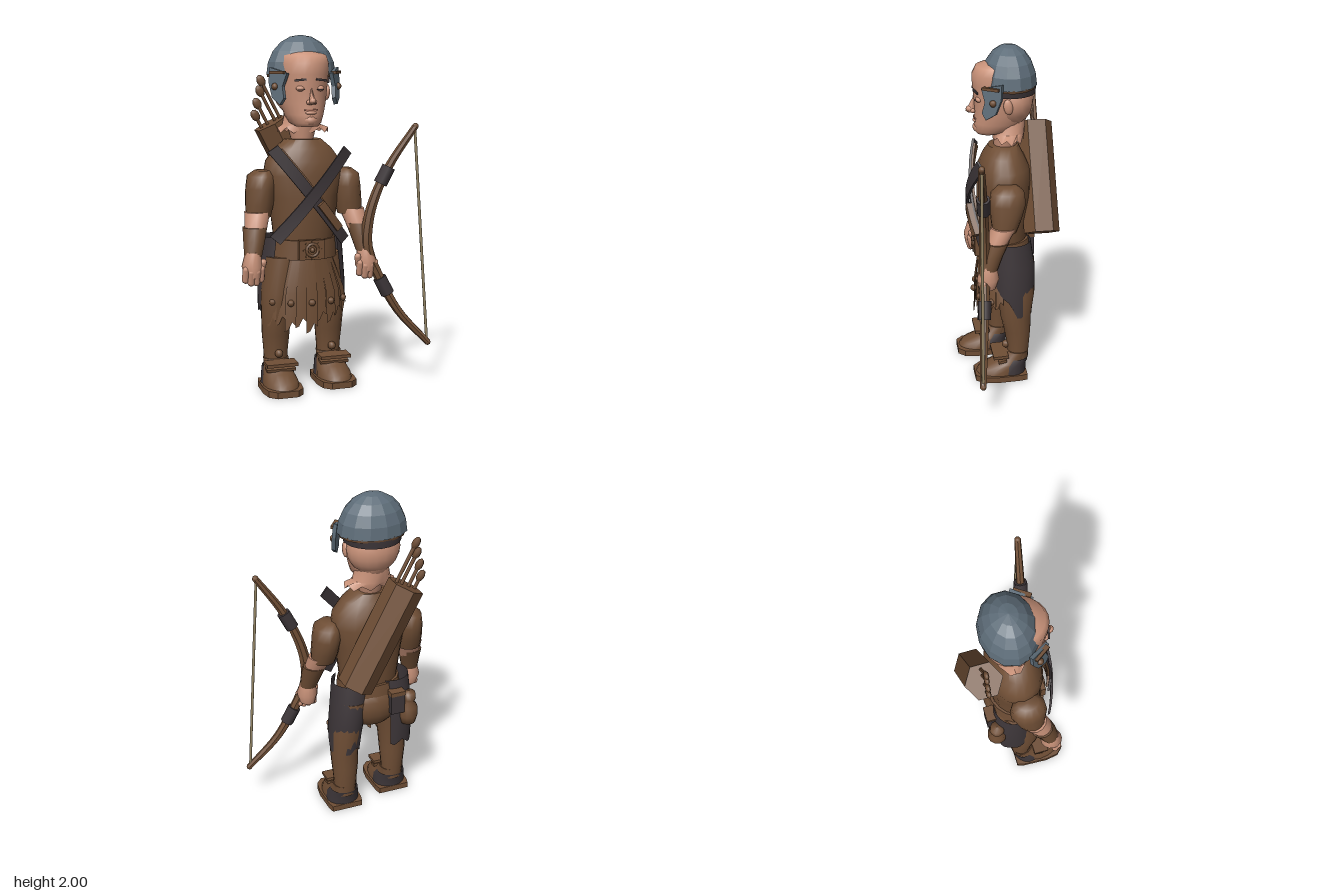
import * as THREE from 'three';
import { toCreasedNormals } from 'three/addons/utils/BufferGeometryUtils.js';

const mat = (name, color) => new THREE.MeshStandardMaterial({ name, color, side: THREE.DoubleSide });
const PI = Math.PI;
const CX = -0.155; // body axis

export function createModel() {
  const leather = mat('brown leather', 0x6f4e35);
  const skin = mat('skin', 0xca937a);
  const steel = mat('blue steel', 0x5e6d79);
  const dark = mat('dark cloth', 0x3d3639);
  const cord = mat('bowstring', 0x948565);
  const lip = mat('lips', 0xa86f5c);

  const root = new THREE.Group();
  root.name = 'archer';
  const body = new THREE.Group();
  body.name = 'body';
  body.position.x = CX;
  root.add(body);

  const add = (parent, name, geo, m, p = [0, 0, 0], r = [0, 0, 0], s = [1, 1, 1]) => {
    const mesh = new THREE.Mesh(geo, m);
    mesh.name = name;
    mesh.position.set(...p);
    mesh.rotation.set(...r);
    mesh.scale.set(...s);
    parent.add(mesh);
    return mesh;
  };
  const box = (x, y, z) => new THREE.BoxGeometry(x, y, z);
  const ball = (r, w = 10, h = 7) => new THREE.SphereGeometry(r, w, h);

  // Skin of elliptical rings [y, cx, cz, rx, rz], lowest first; a0..a1 makes an open panel.
  // ragged shifts the lowest ring's points up and down.
  function loft(rings, { n = 16, a0 = 0, a1 = 2 * PI, crease = 0.9, ragged = null } = {}) {
    const full = a1 - a0 > 6.28;
    const list = full && !ragged
      ? [[...rings[0].slice(0, 3), 0, 0], ...rings, [...rings.at(-1).slice(0, 3), 0, 0]] : rings;
    const row = full ? n : n + 1, pos = [], idx = [];
    list.forEach(([y, cx, cz, rx, rz], i) => {
      for (let j = 0; j < row; j++) {
        const a = a0 + (a1 - a0) * j / n;
        pos.push(cx + rx * Math.cos(a), y + (ragged && i === 0 ? ragged(j) : 0), cz + rz * Math.sin(a));
      }
    });
    for (let i = 0; i < list.length - 1; i++) for (let j = 0; j < n; j++) {
      const k = (j + 1) % row, a = i * row + j, b = i * row + k, c = a + row, d = b + row;
      idx.push(a, c, b, b, c, d);
    }
    const g = new THREE.BufferGeometry();
    g.setAttribute('position', new THREE.Float32BufferAttribute(pos, 3));
    g.setIndex(idx);
    return toCreasedNormals(g, crease);
  }
  // Centred rings given as [y, half width, back z, front z]
  const trunk = (rows, o) => loft(rows.map(([y, w, b, f]) => [y, 0, (b + f) / 2, w, (f - b) / 2]), o);

  // Torso, pelvis and belt
  add(body, 'tunic', trunk([[0.82, 0.17, -0.12, 0.15], [0.95, 0.185, -0.13, 0.165], [1.1, 0.203, -0.145, 0.17],
    [1.22, 0.232, -0.148, 0.17], [1.3, 0.218, -0.135, 0.16], [1.37, 0.165, -0.1, 0.13], [1.42, 0.105, -0.075, 0.1]], { n: 20 }), leather);
  add(body, 'belt', trunk([[0.75, 0.195, -0.15, 0.175], [0.86, 0.185, -0.14, 0.17]], { n: 20 }), leather);
  add(body, 'seat', ball(1, 16, 10), leather, [0, 0.71, -0.05], [0, 0, 0], [0.17, 0.15, 0.115]);
  add(body, 'buckle', box(0.15, 0.11, 0.03), leather, [0, 0.81, 0.178]);
  add(body, 'buckleRing', new THREE.TorusGeometry(0.034, 0.009, 6, 12), leather, [0, 0.81, 0.196]);
  add(body, 'buckleStud', ball(0.014), leather, [0, 0.81, 0.195]);
  for (let i = 0; i < 8; i++) {
    const a = i * PI / 4;
    add(body, 'buckleRay', box(0.03, 0.009, 0.012), leather, [0.04 * Math.cos(a), 0.81 + 0.04 * Math.sin(a), 0.193], [0, 0, a]);
  }

  // Skirt of overlapping leather strips with ragged ends
  const drop = [0.5, 0.47, 0.45, 0.42, 0.43, 0.37, 0.4, 0.38, 0.41, 0.4, 0.46];
  drop.forEach((y, i) => {
    const a0 = PI * (0.07 + 0.86 * i / drop.length), a1 = a0 + PI * 0.084, out = 0.01 * (i % 2);
    add(body, 'skirtStrip', loft([[y, 0, 0.01, 0.25 + out, 0.175 + out], [0.57, 0, 0.01, 0.235 + out, 0.17 + out],
      [0.76, 0, 0.01, 0.165, 0.155]], { n: 3, a0, a1, ragged: j => (j === 1 ? 0.02 : -0.012 * j) }), leather);
    const a = (a0 + a1) / 2;
    if (i % 2) add(body, 'skirtStud', ball(0.02, 8, 6), leather, [0.25 * Math.cos(a), 0.51, 0.01 + 0.185 * Math.sin(a)]);
  });

  // Crossed chest straps, bowed out over the chest
  function strap(name, len, wide, m, x, y, ang, z, thick = 0.014) {
    const g = new THREE.BoxGeometry(wide, len, thick, 1, 10, 1).rotateZ(ang).translate(x, y, 0);
    const p = g.attributes.position;
    for (let i = 0; i < p.count; i++) p.setZ(i, p.getZ(i) + z - 1.2 * p.getX(i) ** 2);
    g.computeVertexNormals();
    add(body, name, g, m);
  }
  strap('chestStrap', 0.67, 0.064, dark, -0.005, 1.115, 0.67, 0.205);
  strap('chestStrap', 0.65, 0.066, dark, 0.002, 1.118, -0.71, 0.226);
  strap('innerBand', 0.5, 0.06, leather, -0.03, 1.165, 0.67, 0.191);
  strap('daggerGrip', 0.19, 0.044, leather, 0.1, 1.0, 0.67, 0.225, 0.03);

  // Head and neck
  add(body, 'head', trunk([[1.495, 0.062, 0.03, 0.165], [1.515, 0.088, -0.07, 0.183], [1.56, 0.108, -0.115, 0.18],
    [1.62, 0.125, -0.135, 0.176], [1.7, 0.136, -0.153, 0.18], [1.78, 0.143, -0.163, 0.188], [1.84, 0.145, -0.155, 0.19],
    [1.885, 0.133, -0.13, 0.168], [1.92, 0.06, -0.06, 0.07]], { n: 24, crease: 1.2 }), skin);
  add(body, 'skullBack', ball(1, 18, 12), skin, [0, 1.69, -0.035], [0, 0, 0], [0.155, 0.15, 0.125]);
  add(body, 'neck', trunk([[1.41, 0.062, -0.06, 0.065], [1.54, 0.095, -0.11, 0.085]]), skin);
  add(body, 'neckSkin', loft([[1.468, 0.01, -0.015, 0.15, 0.085], [1.5, 0, -0.02, 0.11, 0.09], [1.57, 0, -0.02, 0.095, 0.095]],
    { n: 18, ragged: j => (j % 2 ? 0.015 : -0.015) }), skin);
  add(body, 'nose', new THREE.ConeGeometry(0.026, 0.1, 8), skin, [0, 1.67, 0.188], [-0.22, 0, 0], [0.8, 1, 1.1]);
  add(body, 'noseTip', ball(0.02), skin, [0, 1.637, 0.206]);
  add(body, 'chin', ball(0.04), skin, [0, 1.53, 0.15], [0, 0, 0], [1.1, 0.8, 1]);
  add(body, 'upperLip', box(0.075, 0.008, 0.008), lip, [0, 1.588, 0.177]);
  add(body, 'lowerLip', ball(0.02), skin, [0, 1.572, 0.17], [0, 0, 0], [1.7, 0.6, 0.9]);

  // Helmet: faceted bowl, rim and lining band
  const bowl = new THREE.SphereGeometry(1, 13, 5, 0, 2 * PI, 0, PI / 2).toNonIndexed();
  bowl.computeVertexNormals();
  add(body, 'helmetBowl', bowl, steel, [0, 1.78, -0.02], [0, 0, 0], [0.2, 0.22, 0.16]);
  add(body, 'helmetRim', trunk([[1.765, 0.19, -0.172, 0.13], [1.785, 0.196, -0.176, 0.136]], { n: 13 }), leather);
  add(body, 'helmetLining', loft([[1.73, 0, -0.02, 0.162, 0.152], [1.77, 0, -0.02, 0.168, 0.154]],
    { n: 14, a0: PI * 0.88, a1: PI * 2.12 }), dark);
  // Cheek guard outline as [forward, up] from its centre
  const cheek = new THREE.Shape([[0.06, 0.07], [-0.06, 0.1], [-0.06, 0.02], [-0.03, -0.06], [0.025, -0.095], [0.05, -0.06], [0.035, 0]]
    .map(([z, y]) => new THREE.Vector2(-z, y)));
  const cheekGeo = new THREE.ExtrudeGeometry(cheek, { depth: 0.022, bevelEnabled: false }).translate(0, 0, -0.011).rotateY(PI / 2);

  for (const s of [1, -1]) {
    const side = s > 0 ? 'left' : 'right';
    const arm = (name, rings, m) => add(body, side + name, loft(rings.map(([y, x, ...r]) => [y, s * x, ...r]), { n: 14 }), m);

    // Face and helmet sides
    add(body, side + 'Brow', box(0.066, 0.012, 0.009), dark, [s * 0.06, 1.752, 0.176], [0, s * 0.22, -s * 0.1]);
    add(body, side + 'Eyelid', ball(0.024), skin, [s * 0.054, 1.705, 0.158], [0, 0, 0], [1.15, 0.7, 0.8]);
    add(body, side + 'Eye', box(0.04, 0.005, 0.008), dark, [s * 0.054, 1.699, 0.173], [0, s * 0.2, 0]);
    add(body, side + 'Nostril', ball(0.013), skin, [s * 0.018, 1.63, 0.187]);
    add(body, side + 'Ear', ball(0.045), skin, [s * 0.148, 1.68, 0.005], [0.15, 0, 0], [0.35, 1, 0.6]);
    const guard = new THREE.Group();
    guard.name = side + 'CheekGuard';
    guard.position.set(s * 0.165, 1.715, 0.1);
    guard.rotation.y = -s * 0.6;
    body.add(guard);
    add(guard, 'cheekPlate', cheekGeo, steel, [0, 0, 0], [0, 0, s * 0.1], [1, 1.05, 1.05]);
    add(guard, 'cheekStud', ball(0.02), leather, [s * 0.012, 0, -0.015]);
    add(guard, 'cheekHinge', box(0.026, 0.016, 0.1), leather, [s * 0.006, 0.077, 0]);

    // Arm
    arm('Sleeve', [[0.99, 0.27, 0.045, 0.07, 0.07], [1.06, 0.262, 0.035, 0.08, 0.088], [1.15, 0.254, 0.025, 0.082, 0.105],
      [1.22, 0.25, 0.025, 0.077, 0.095], [1.25, 0.24, 0.025, 0.045, 0.06]], leather);
    arm('Elbow', [[0.86, 0.312, 0.12, 0.055, 0.052], [0.95, 0.295, 0.085, 0.066, 0.066], [1.02, 0.279, 0.05, 0.073, 0.074]], skin);
    arm('Bracer', [[0.785, 0.328, 0.142, 0.05, 0.05], [0.87, 0.315, 0.118, 0.062, 0.06], [0.94, 0.303, 0.09, 0.07, 0.068]], leather);
    arm('Palm', [[0.67, 0.332, 0.155, 0.045, 0.05], [0.73, 0.335, 0.15, 0.06, 0.064], [0.81, 0.33, 0.145, 0.042, 0.045]], skin);
    for (let f = 0; f < 4; f++) {
      add(body, side + 'Finger', new THREE.CapsuleGeometry(0.021, 0.06, 3, 8), skin,
        [s * (0.29 + f * 0.029), 0.688 - (f % 3 ? 0.015 : 0), 0.187 - Math.abs(f - 1.5) * 0.01], [0.25, 0, 0]);
    }
    add(body, side + 'Thumb', new THREE.CapsuleGeometry(0.02, 0.05, 3, 8), skin, [s * 0.282, 0.73, 0.165], [0.3, 0, s * 0.2]);

    // Leg with dark breeches at the back and side
    const leg = new THREE.Group();
    leg.name = side + 'Leg';
    leg.position.set(s * 0.17, 0, s > 0 ? -0.035 : 0.035);
    body.add(leg);
    add(leg, 'leg', loft([[0.1, 0, -0.01, 0.066, 0.062], [0.2, 0, -0.015, 0.07, 0.066], [0.31, 0, -0.01, 0.08, 0.08],
      [0.4, 0, 0, 0.084, 0.092], [0.55, -s * 0.01, -0.005, 0.095, 0.11], [0.76, -s * 0.04, -0.01, 0.1, 0.105]]), leather);
    // the hem rises toward the front edge
    const hem = j => 0.17 * Math.max(0, (s > 0 ? j : 14 - j) - 9) / 5 + 0.02 * Math.sin(j * 1.3);
    add(body, side + 'Breeches', loft([[0.43, s * 0.16, -0.02, 0.098, 0.112], [0.6, s * 0.152, -0.025, 0.105, 0.126],
      [0.72, s * 0.138, -0.025, 0.11, 0.127], [0.87, s * 0.115, -0.015, 0.12, 0.115]],
    { n: 14, a0: s > 0 ? PI * 1.3 : PI * 0.67, a1: s > 0 ? PI * 2.33 : PI * 1.7, ragged: hem }), dark);

    // Shoe
    const outline = new THREE.Shape();
    outline.moveTo(-0.095, 0.06);
    [[0.095, 0.06], [0.105, 0.02], [0.112, -0.13], [0.1, -0.21], [0.06, -0.25], [-0.06, -0.25], [-0.1, -0.21], [-0.112, -0.13], [-0.105, 0.02]]
      .forEach(([x, y]) => outline.lineTo(x, y));
    add(leg, 'sole', new THREE.ExtrudeGeometry(outline, { depth: 0.036, bevelEnabled: false }).rotateX(-PI / 2), leather);
    add(leg, 'shoe', loft([[0.03, 0, 0.095, 0.1, 0.15], [0.065, 0, 0.085, 0.097, 0.137], [0.1, 0, 0.04, 0.085, 0.098],
      [0.14, 0, 0.01, 0.076, 0.076], [0.17, 0, -0.01, 0.074, 0.068]]), leather);
    add(leg, 'heelPatch', loft([[0.036, 0, 0.03, 0.1, 0.09], [0.09, 0, 0.025, 0.096, 0.088], [0.13, 0, 0, 0.084, 0.077]],
      { n: 10, a0: PI * 0.9, a1: PI * 2.1 }), dark);
    add(leg, 'ankleFlap', box(0.18, 0.018, 0.09), leather, [0, 0.158, 0.1], [0.05, 0, 0]);
    add(leg, 'ankleStrap', box(0.17, 0.016, 0.05), leather, [0, 0.125, 0.09], [0.2, 0, 0]);
    add(leg, 'ankleStud', ball(0.024), leather, [0, 0.205, 0.06]);
  }

  // Pouches behind the right hip
  const jar = new THREE.LatheGeometry([[0, 0], [0.045, 0.01], [0.058, 0.06], [0.055, 0.12], [0.035, 0.15], [0.045, 0.17], [0.04, 0.21], [0, 0.22]]
    .map(p => new THREE.Vector2(...p)), 12);
  add(root, 'flask', jar, leather, [-0.35, 0.57, -0.14]);
  add(root, 'hipPouch', box(0.085, 0.13, 0.06), dark, [-0.265, 0.74, -0.155]);
  add(root, 'hipPouchFlap', box(0.09, 0.025, 0.066), leather, [-0.265, 0.805, -0.155]);

  // Quiver with arrows
  const quiver = new THREE.Group();
  quiver.name = 'quiver';
  quiver.position.set(-0.14, 1.21, -0.19);
  quiver.rotation.z = 0.478;
  root.add(quiver);
  const tube = new THREE.CylinderGeometry(0.105, 0.105, 0.65, 6).toNonIndexed();
  tube.computeVertexNormals();
  add(quiver, 'quiverCase', tube, leather);
  [[-0.057, 0.1], [-0.016, 0.155], [0.032, 0.21], [0.065, 0.26]].forEach(([x, h]) => {
    add(quiver, 'arrowShaft', new THREE.CylinderGeometry(0.01, 0.01, h, 6), leather, [x, 0.32 + h / 2, 0]);
    add(quiver, 'arrowFletching', ball(0.026, 6, 5), leather, [x, 0.305 + h, 0], [0, 0, 0], [1, 1.4, 0.6]);
  });

  // Bow, tapering to both tips
  const bow = new THREE.Group();
  bow.name = 'bow';
  root.add(bow);
  const path = new THREE.CatmullRomCurve3([[0.45, 1.49], [0.31, 1.28], [0.225, 1.1], [0.185, 0.95], [0.18, 0.8], [0.24, 0.65], [0.36, 0.43], [0.535, 0.235]]
    .map(([x, y]) => new THREE.Vector3(x, y, 0.138 + 0.17 * x)));
  const stave = new THREE.TubeGeometry(path, 32, 0.034, 7);
  const sp = stave.attributes.position, v = new THREE.Vector3();
  for (let i = 0; i < sp.count; i++) {
    const t = Math.floor(i / 8) / 32, c = path.getPointAt(t);
    v.fromBufferAttribute(sp, i).sub(c).multiplyScalar(1 - 0.45 * Math.abs(2 * t - 1)).add(c);
    sp.setXYZ(i, v.x, v.y, v.z);
  }
  add(bow, 'bowStave', toCreasedNormals(stave, 0.5), leather);
  const rod = (name, a, b, r, m, n) => {
    const d = b.clone().sub(a);
    const mesh = add(bow, name, new THREE.CylinderGeometry(r, r, d.length(), n), m, a.clone().add(b).multiplyScalar(0.5).toArray());
    mesh.quaternion.setFromUnitVectors(new THREE.Vector3(0, 1, 0), d.normalize());
  };
  for (const t of [0.19, 0.66]) rod('bowWrap', path.getPointAt(t), path.getPointAt(t + 0.075), 0.039, dark, 8);
  for (const t of [0, 1]) add(bow, 'bowTip', ball(0.019, 8, 6), leather, path.getPointAt(t).toArray());
  rod('bowString', path.getPointAt(0.005), path.getPointAt(0.995), 0.009, cord, 6);

  return root;
}
